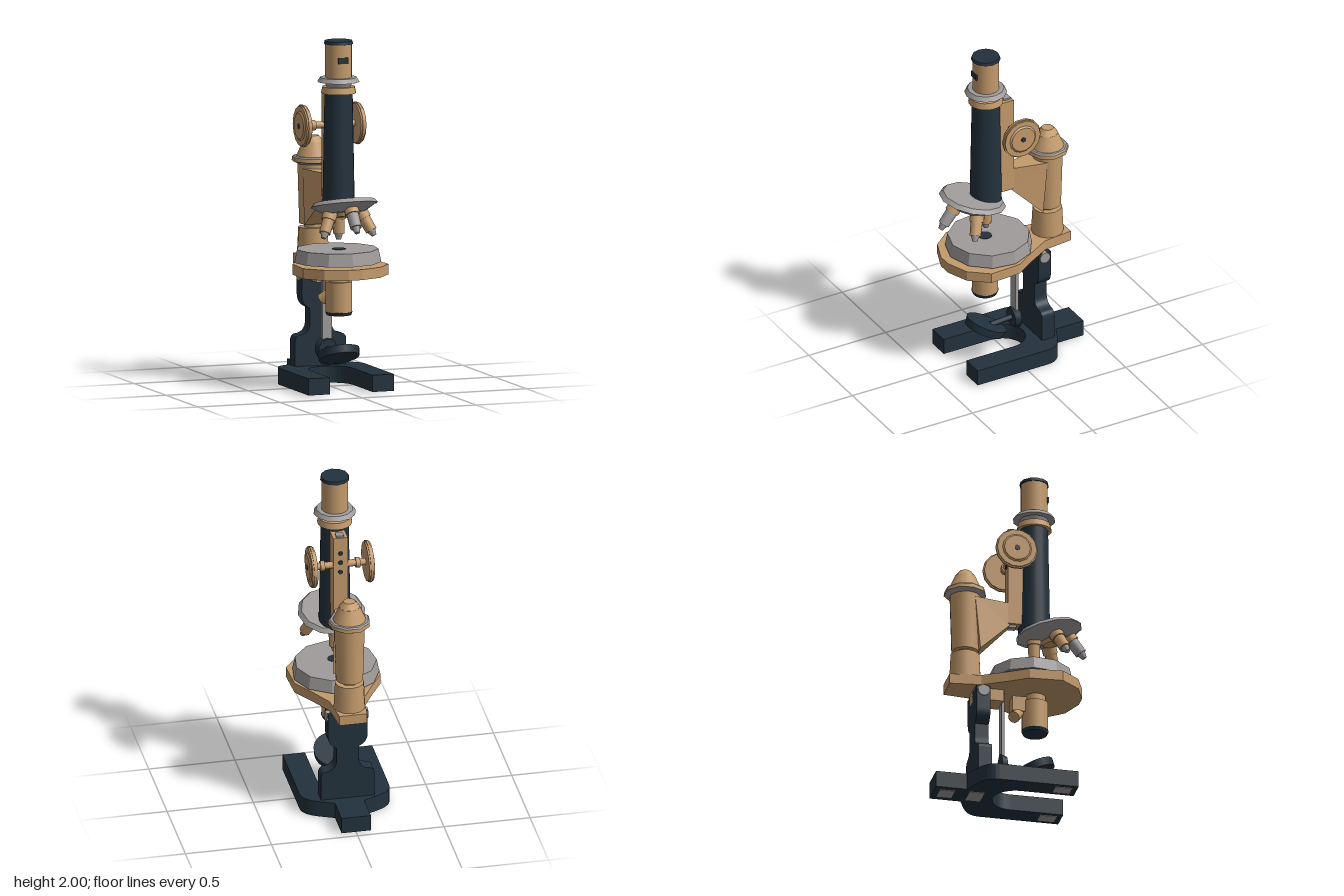
import * as THREE from 'three';

export function createModel() {
  const root = new THREE.Group();
  root.name = 'microscope';
  const mat = (name, color) => Object.assign(new THREE.MeshStandardMaterial({ color }), { name });
  const iron = mat('dark iron', 0x23323d);
  const brass = mat('brass', 0xc49b6c);
  const steel = mat('grey steel', 0xa09c9c);

  const add = (name, geo, material, x = 0, y = 0, z = 0, parent = root) => {
    const m = new THREE.Mesh(geo, material);
    m.name = name;
    m.position.set(x, y, z);
    parent.add(m);
    return m;
  };
  const box = (name, material, x0, x1, y0, y1, z0, z1) =>
    add(name, new THREE.BoxGeometry(x1 - x0, y1 - y0, z1 - z0), material,
      (x0 + x1) / 2, (y0 + y1) / 2, (z0 + z1) / 2);
  // Upright cylinder from y0 to y1
  const drum = (name, material, z, y0, y1, r0, r1 = r0, sides = 20) =>
    add(name, new THREE.CylinderGeometry(r1, r0, y1 - y0, sides), material, 0, (y0 + y1) / 2, z);
  // Round rod between two points
  const rod = (name, material, a, b, r0, r1 = r0, sides = 12) => {
    const p = new THREE.Vector3(...a), q = new THREE.Vector3(...b);
    const d = q.clone().sub(p);
    const m = add(name, new THREE.CylinderGeometry(r1, r0, d.length(), sides), material);
    m.position.copy(p).add(q).multiplyScalar(0.5);
    m.quaternion.setFromUnitVectors(new THREE.Vector3(0, 1, 0), d.normalize());
    return m;
  };
  const extrude = (shape, depth) =>
    new THREE.ExtrudeGeometry(shape, { depth, bevelEnabled: false, curveSegments: 10 });
  // Outline in (x, -z), raised from y0 to y1
  const slab = (name, material, shape, y0, y1) => {
    const m = add(name, extrude(shape, y1 - y0), material, 0, y0, 0);
    m.rotation.x = -Math.PI / 2;
    return m;
  };

  // Horseshoe foot
  const foot = new THREE.Shape();
  foot.moveTo(0.26, -0.33);
  foot.lineTo(0.26, 0.13);
  foot.bezierCurveTo(0.26, 0.22, 0.17, 0.24, 0.085, 0.28);
  foot.lineTo(0.085, 0.46);
  foot.lineTo(-0.085, 0.46);
  foot.lineTo(-0.085, 0.28);
  foot.bezierCurveTo(-0.17, 0.24, -0.26, 0.22, -0.26, 0.13);
  foot.lineTo(-0.26, -0.33);
  foot.lineTo(-0.13, -0.33);
  foot.lineTo(-0.13, -0.02);
  foot.absarc(0, -0.02, 0.13, Math.PI, 0, true);
  foot.lineTo(0.13, -0.33);
  slab('foot', iron, foot, 0.004, 0.1);
  for (const s of [-1, 1]) {
    box('frontPad', steel, s * 0.195 - 0.04, s * 0.195 + 0.04, 0, 0.006, 0.2, 0.3);
  }
  box('middlePad', steel, -0.06, 0.06, 0, 0.006, -0.26, -0.17);
  box('rearPad', steel, -0.05, 0.05, 0, 0.006, -0.43, -0.34);

  // Waisted pillar
  const pillar = new THREE.Shape();
  pillar.moveTo(-0.155, 0.1);
  pillar.lineTo(0.155, 0.1);
  pillar.lineTo(0.155, 0.25);
  pillar.quadraticCurveTo(0.15, 0.28, 0.12, 0.28);
  pillar.quadraticCurveTo(0.065, 0.29, 0.065, 0.35);
  pillar.lineTo(0.065, 0.43);
  pillar.quadraticCurveTo(0.115, 0.45, 0.115, 0.51);
  pillar.lineTo(0.115, 0.65);
  pillar.lineTo(-0.115, 0.65);
  pillar.lineTo(-0.115, 0.51);
  pillar.quadraticCurveTo(-0.115, 0.45, -0.065, 0.43);
  pillar.lineTo(-0.065, 0.35);
  pillar.quadraticCurveTo(-0.065, 0.29, -0.12, 0.28);
  pillar.quadraticCurveTo(-0.15, 0.28, -0.155, 0.25);
  add('pillar', extrude(pillar, 0.08), iron, 0, 0, -0.23);
  rod('hingePin', steel, [-0.122, 0.62, -0.19], [0.122, 0.62, -0.19], 0.033, 0.033, 16);
  box('hingeBlock', brass, -0.06, 0.06, 0.59, 0.66, -0.23, -0.06);

  // Mirror on its hanging rod
  box('mirrorRod', steel, -0.03, 0.03, 0.2, 0.66, -0.066, -0.048);
  rod('mirrorBoss', iron, [0, 0.21, -0.07], [0, 0.21, -0.035], 0.068, 0.055, 14);
  rod('mirrorArm', iron, [0, 0.21, -0.04], [0, 0.2, 0.1], 0.016);
  add('mirror', new THREE.CylinderGeometry(0.122, 0.115, 0.045, 24), iron, 0, 0.2, 0.133).rotation.x = -0.44;

  // Condenser below the stage
  const axis = 0.135;
  drum('condenserRim', iron, axis, 0.428, 0.447, 0.07, 0.078);
  drum('condenser', brass, axis, 0.447, 0.62, 0.075);
  drum('condenserNeck', brass, axis, 0.62, 0.73, 0.06);
  box('condenserSlide', brass, -0.04, 0.04, 0.55, 0.64, -0.005, 0.08);
  rod('condenserKnob', brass, [0, 0.56, 0.05], [-0.05, 0.5, 0.0], 0.025, 0.035, 10);

  // Stage with its carrier plate
  const plate = new THREE.Shape();
  const rim = [[0.08, 0.38], [0.1, 0.2], [0.18, 0.06], [0.25, -0.05], [0.26, -0.24], [0.17, -0.35], [0.04, -0.4]];
  rim.forEach(([x, y], i) => (i ? plate.lineTo(x, y) : plate.moveTo(x, y)));
  [...rim].reverse().forEach(([x, y]) => plate.lineTo(-x, y));
  slab('stageCarrier', brass, plate, 0.66, 0.72);
  const stageMat = drum('stage', steel, 0.11, 0.73, 0.805, 0.25, 0.235, 11);
  stageMat.geometry = stageMat.geometry.toNonIndexed();
  stageMat.geometry.computeVertexNormals();
  drum('stageOpening', iron, axis, 0.8, 0.808, 0.04, 0.04, 12);

  // Rear column with fine-focus head
  const rear = -0.272;
  drum('columnBase', brass, rear, 0.72, 0.88, 0.092, 0.084, 12);
  drum('columnPin', brass, rear, 0.87, 0.91, 0.05);
  drum('column', brass, rear, 0.9, 1.245, 0.078, 0.088);
  drum('headRing', steel, rear, 1.243, 1.258, 0.09, 0.115, 10);
  drum('headFlange', brass, rear, 1.258, 1.28, 0.122, 0.12, 9);
  drum('headPlate', steel, rear, 1.28, 1.288, 0.12, 0.112, 9);
  drum('headCone', brass, rear, 1.288, 1.37, 0.095, 0.06, 14);
  drum('headTop', brass, rear, 1.37, 1.403, 0.06, 0.035, 10);

  // Triangular arm, wider toward the column
  const arm = new THREE.Shape();
  arm.moveTo(0.02, 1.08);
  arm.lineTo(0.2, 0.9);
  arm.lineTo(0.23, 1.22);
  arm.lineTo(0.02, 1.22);
  const armGeo = extrude(arm, 0.1);
  armGeo.rotateY(Math.PI / 2);
  const ap = armGeo.attributes.position;
  for (let i = 0; i < ap.count; i++) {
    const z = -ap.getZ(i) * -1;
    const spread = 0.35 + 0.65 * Math.min(1, Math.abs(z) / 0.2);
    ap.setX(i, (ap.getX(i) - 0.05) * 1.6 * spread);
  }
  armGeo.computeVertexNormals();
  add('arm', armGeo, brass);

  // Rack and its housing
  box('rackHousing', brass, -0.042, 0.042, 1.09, 1.68, -0.03, 0.085);
  box('rack', steel, -0.022, 0.022, 1.075, 1.69, -0.022, 0.022);
  for (const y of [1.46, 1.52, 1.58]) {
    rod('housingScrew', iron, [0, y, -0.025], [0, y, -0.034], 0.014);
  }

  // Coarse focus knobs
  rod('focusShaft', brass, [-0.15, 1.5, -0.01], [0.15, 1.5, -0.01], 0.02);
  for (const s of [-1, 1]) {
    const at = (x) => [s * x, 1.5, -0.01];
    rod('focusCollar', brass, at(0.09), at(0.115), 0.03);
    rod('focusKnob', brass, at(0.148), at(0.18), 0.115, 0.115, 14);
    rod('focusKnobBand', brass, at(0.157), at(0.171), 0.122, 0.122, 14);
    rod('focusKnobFace', brass, at(0.18), at(0.188), 0.085, 0.075, 14);
    rod('focusScrew', iron, at(0.186), at(0.191), 0.016);
  }

  // Body tube and eyepiece
  drum('bodyTube', iron, 0.13, 1.04, 1.7, 0.092, 0.08);
  drum('tubeCollar', brass, 0.13, 1.7, 1.738, 0.1, 0.092);
  drum('drawNeck', steel, 0.13, 1.738, 1.765, 0.07, 0.08);
  drum('drawFlange', steel, 0.13, 1.765, 1.79, 0.122, 0.105, 12);
  drum('eyepiece', brass, 0.13, 1.785, 1.985, 0.076);
  drum('eyepieceCap', iron, 0.13, 1.982, 2, 0.084, 0.08, 12);
  box('eyepieceMark', iron, -0.03, 0.03, 1.875, 1.91, 0.2, 0.209);

  // Tilted revolving nosepiece
  const nose = new THREE.Group();
  nose.name = 'nosepiece';
  nose.position.set(0, 1.075, 0.215);
  nose.rotation.x = -0.24;
  root.add(nose);
  add('noseDisc', new THREE.CylinderGeometry(0.175, 0.195, 0.024, 12), steel, 0, 0.004, 0, nose);
  add('noseBowl', new THREE.CylinderGeometry(0.19, 0.115, 0.045, 12), steel, 0, -0.03, 0, nose);
  add('noseHub', new THREE.CylinderGeometry(0.06, 0.05, 0.03, 12), brass, 0, -0.06, 0, nose);

  // Objectives: mount, barrel and tip along one line
  const objective = (a, b, barrelMat) => {
    const at = (t) => a.map((v, i) => v + (b[i] - v) * t);
    rod('objectiveMount', brass, a, at(0.3), 0.042, 0.042);
    rod('objectiveBarrel', barrelMat, at(0.3), at(0.8), 0.035, 0.033);
    rod('objectiveTip', steel, at(0.8), b, 0.025, 0.014);
  };
  objective([0, 1.03, 0.13], [0, 0.86, 0.13], brass);
  objective([0.09, 1.03, 0.235], [0.155, 0.895, 0.29], brass);
  objective([-0.09, 1.03, 0.235], [-0.155, 0.895, 0.29], brass);
  objective([0, 1.07, 0.32], [0, 0.935, 0.425], steel);

  return root;
}
